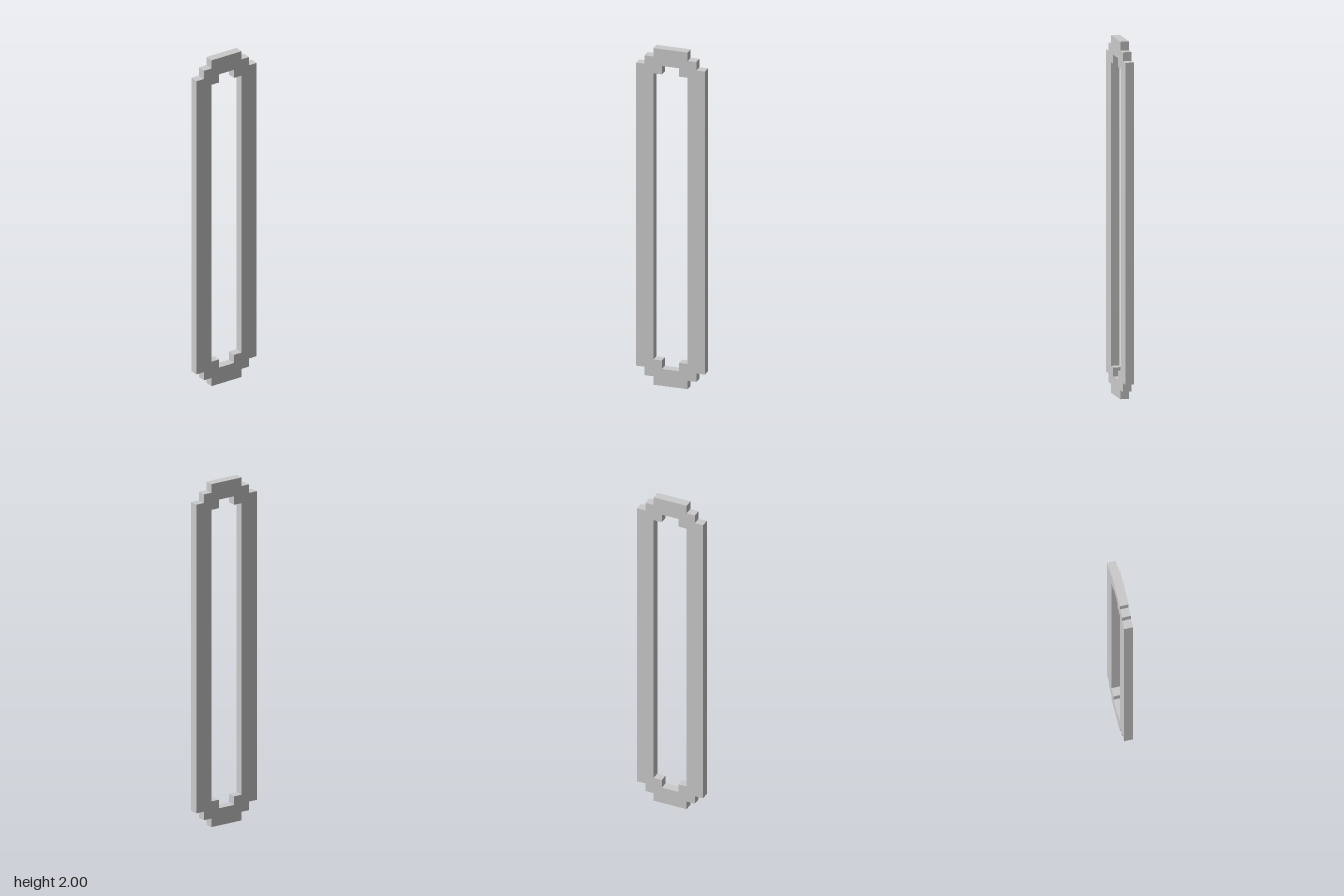
import * as THREE from 'three';

const HEIGHT = 2;
const DEPTH = 0.05;

// Mirror the upper +x quarter outline (side to top, relative to mid height) into a counter-clockwise loop
function mirroredLoop(quarter) {
  const reversed = [...quarter].reverse();
  return [
    ...quarter,
    ...reversed.map(([x, y]) => [-x, y]),
    ...quarter.map(([x, y]) => [-x, -y]),
    ...reversed.map(([x, y]) => [x, -y]),
  ].map(([x, y]) => new THREE.Vector2(x, y + HEIGHT / 2));
}

export function createModel() {
  const group = new THREE.Group();
  group.name = 'steppedRing';

  // Outer edge with two steps per corner, inner opening with one
  const outline = new THREE.Shape(mirroredLoop([[0.2, 0.9], [0.15, 0.9], [0.15, 0.95], [0.1, 0.95], [0.1, 1]]));
  outline.holes.push(new THREE.Path(mirroredLoop([[0.1, 0.85], [0.05, 0.85], [0.05, 0.9]])));

  const geometry = new THREE.ExtrudeGeometry(outline, { depth: DEPTH, bevelEnabled: false });
  geometry.translate(0, 0, -DEPTH / 2);

  const material = new THREE.MeshStandardMaterial({ color: 0xcccccc, flatShading: true });
  const frame = new THREE.Mesh(geometry, material);
  frame.name = 'frame';
  group.add(frame);
  return group;
}
